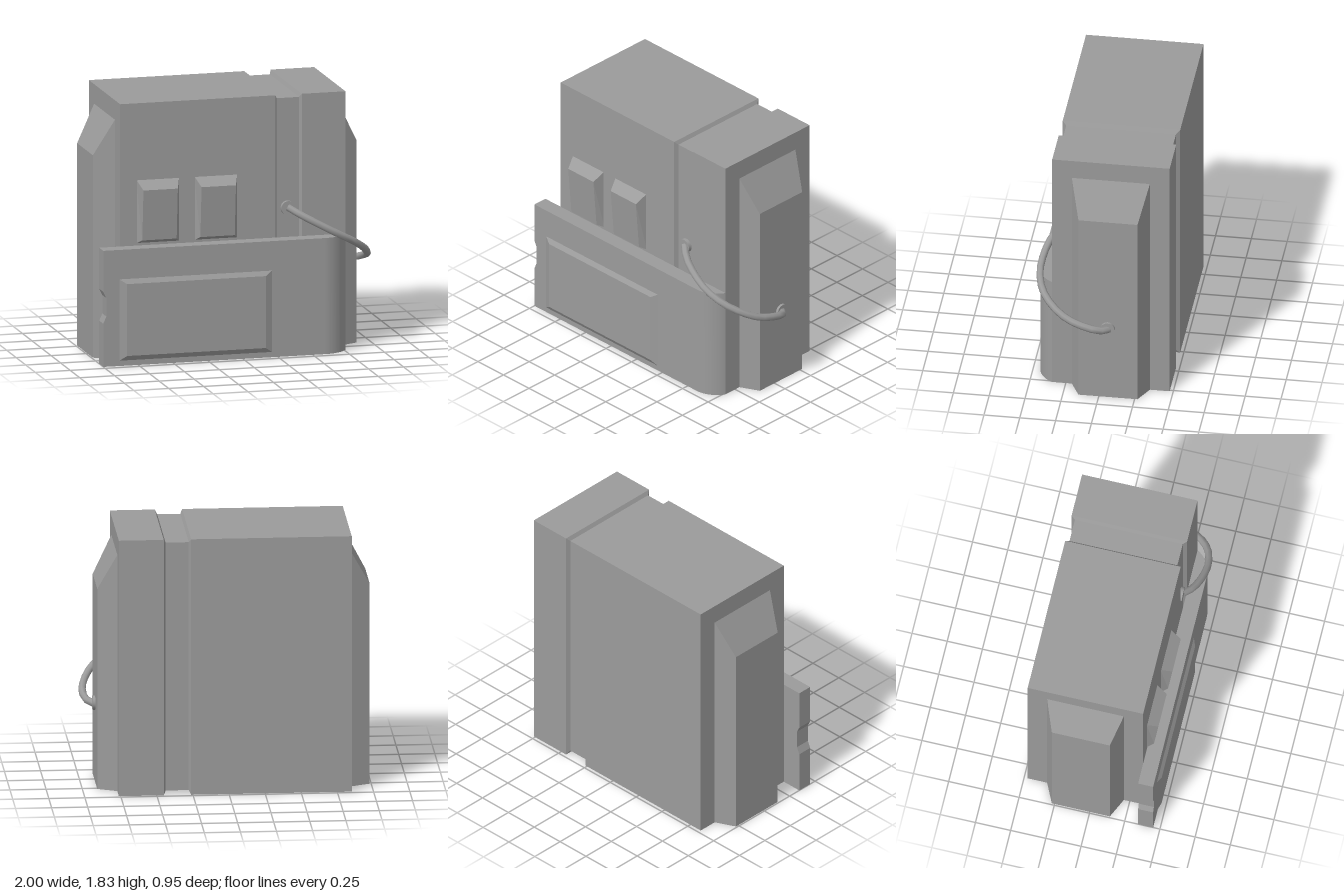
import * as THREE from 'three';
import { toCreasedNormals } from 'three/addons/utils/BufferGeometryUtils.js';

const material = new THREE.MeshStandardMaterial({ color: 0x9b9b9b });

// Flat-faced solid through four-cornered rings, counter-clockwise seen from the last ring
function loft(rings) {
  const pos = [];
  const quad = (a, b, c, d) => pos.push(...a, ...b, ...c, ...a, ...c, ...d);
  for (let i = 0; i < rings.length - 1; i++) {
    for (let j = 0; j < 4; j++) {
      const k = (j + 1) % 4;
      quad(rings[i][j], rings[i][k], rings[i + 1][k], rings[i + 1][j]);
    }
  }
  quad(...[...rings[0]].reverse());
  quad(...rings[rings.length - 1]);
  const geometry = new THREE.BufferGeometry();
  geometry.setAttribute('position', new THREE.Float32BufferAttribute(pos, 3));
  geometry.computeVertexNormals();
  return geometry;
}

const ringX = (x, y0, y1, z0, z1) => [[x, y0, z0], [x, y1, z0], [x, y1, z1], [x, y0, z1]];
const ringZ = (x0, x1, y0, y1, zLow, zHigh = zLow) =>
  [[x0, y0, zLow], [x1, y0, zLow], [x1, y1, zHigh], [x0, y1, zHigh]];

export function createModel() {
  const model = new THREE.Group();
  const add = (name, geometry, parent = model) => {
    const mesh = new THREE.Mesh(geometry, material);
    mesh.name = name;
    parent.add(mesh);
    return mesh;
  };

  // Main case with a shallow groove running round it: [x, inset]
  const stations = [[-0.85, 0], [0.262, 0], [0.277, 0.027], [0.437, 0.027], [0.452, 0], [0.763, 0]];
  add('case', loft(stations.map(([x, d]) => ringX(x, d, 1.825 - d, -0.475 + d, 0.345 - d))));

  // Bevelled side pods, sloping at the top
  const podBase = (x) => ringX(x, 0, 1.687, -0.337, 0.208);
  const podFace = (x) => ringX(x, 0, 1.43, -0.27, 0.142);
  add('leftPod', loft([podBase(0.763), podFace(0.897)]));
  add('rightPod', loft([podFace(-0.99), podBase(-0.85)]));

  // Front plate: notched flat part and rounded end
  const plate = new THREE.Group();
  plate.name = 'frontPlate';
  model.add(plate);
  const outline = new THREE.Shape([
    [-1, 0], [0.585, 0], [0.585, 0.82], [-1, 0.82], [-1, 0.53], [-0.978, 0.485], [-0.978, 0.355], [-1, 0.305],
  ].map(([x, y]) => new THREE.Vector2(x, y)));
  const flat = new THREE.ExtrudeGeometry(outline, { depth: 0.107, bevelEnabled: false });
  add('plateFlat', flat.translate(0, 0, 0.345), plate);

  const corner = new THREE.Shape();
  corner.moveTo(0.585, -0.345);
  corner.lineTo(0.585, -0.452);
  corner.absarc(0.585, -0.25, 0.202, -Math.PI / 2, -0.49, false);
  const rounded = new THREE.ExtrudeGeometry(corner, { depth: 0.82, bevelEnabled: false, curveSegments: 12 });
  add('plateRoundedEnd', toCreasedNormals(rounded.rotateX(-Math.PI / 2), 0.5), plate);

  // Raised panel on the plate
  add('raisedPanel', loft([
    ringZ(-0.89, 0.212, 0.034, 0.615, 0.45),
    ringZ(-0.835, 0.158, 0.072, 0.58, 0.473),
  ]), plate);

  // Two pouches with leaning front faces
  for (const x of [-0.58, -0.164]) {
    add('pouch', loft([
      ringZ(x - 0.153, x + 0.153, 0.835, 1.285, 0.34),
      ringZ(x - 0.123, x + 0.123, 0.863, 1.222, 0.387, 0.418),
    ]));
  }

  // Hose and its two collars
  const path = new THREE.CatmullRomCurve3([
    [0.355, 1.025, 0.335], [0.43, 0.98, 0.392], [0.54, 0.92, 0.43], [0.67, 0.85, 0.443],
    [0.8, 0.78, 0.408], [0.9, 0.71, 0.32], [0.955, 0.65, 0.21], [0.974, 0.61, 0.09],
    [0.955, 0.575, -0.02], [0.9, 0.558, -0.07],
  ].map((p) => new THREE.Vector3(...p)));
  add('hose', new THREE.TubeGeometry(path, 16, 0.026, 8));

  const collar = () => toCreasedNormals(new THREE.CylinderGeometry(0.05, 0.05, 0.03, 20), 0.6);
  add('frontCollar', collar().rotateX(Math.PI / 2).translate(0.355, 1.022, 0.328));
  add('sideCollar', collar().rotateZ(Math.PI / 2).translate(0.9, 0.563, -0.063));

  return model;
}
